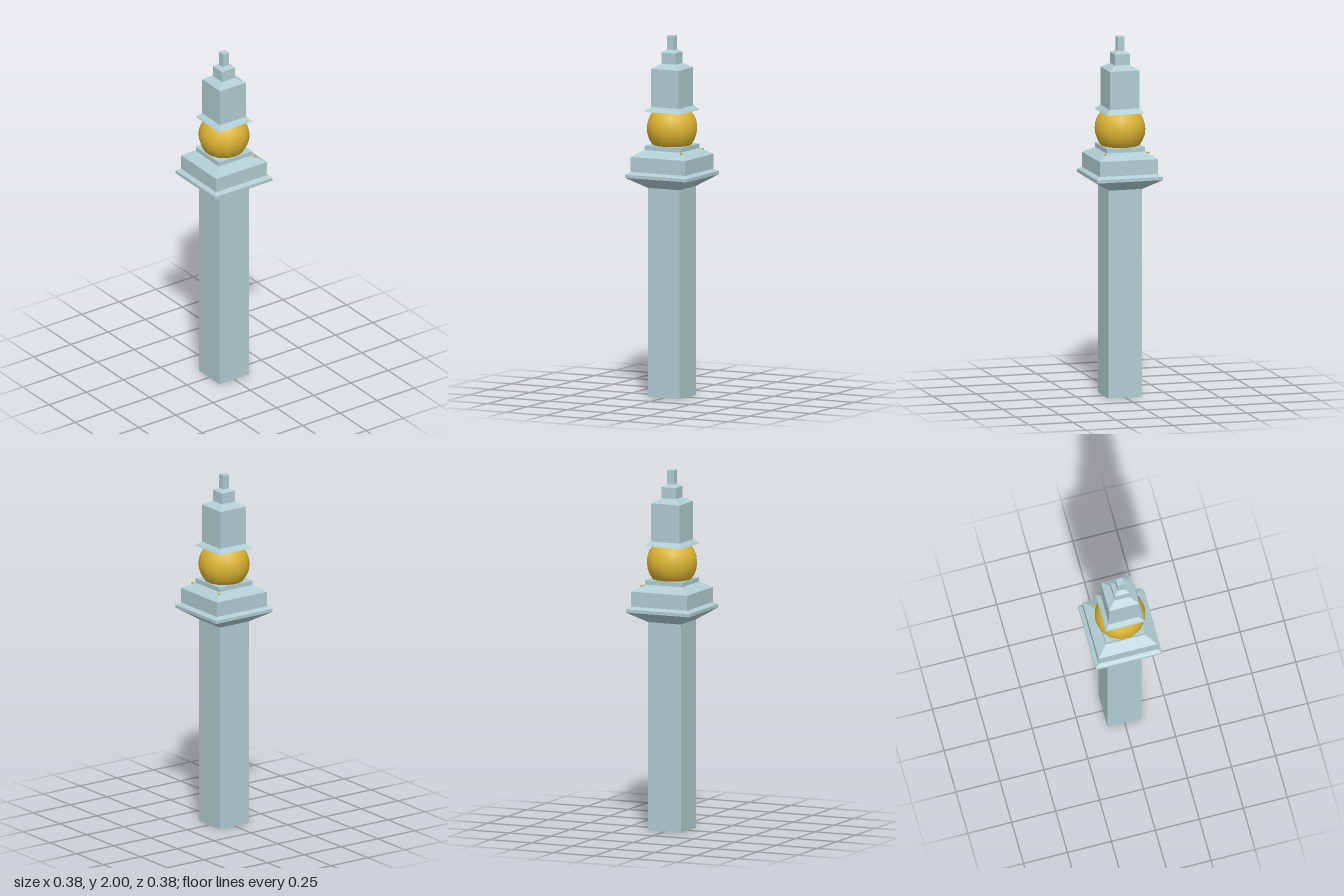
import * as THREE from 'three';

const stone = new THREE.MeshStandardMaterial({ color: 0xb0cdd3, side: THREE.DoubleSide });
stone.name = 'paleStone';
const gold = new THREE.MeshStandardMaterial({ color: 0xdcb432 });
gold.name = 'gold';

// Square tower section from [half width, height] pairs, with flat faces
function squareSection(name, profile) {
  const points = profile.map(([half, y]) => new THREE.Vector2(half * Math.SQRT2, y));
  const geometry = new THREE.LatheGeometry(points, 4, Math.PI / 4).toNonIndexed();
  geometry.scale(1, 1, 1.02);
  geometry.computeVertexNormals();
  const mesh = new THREE.Mesh(geometry, stone);
  mesh.name = name;
  return mesh;
}

export function createModel() {
  const group = new THREE.Group();
  group.name = 'column';

  // Hollow shaft, open at the foot
  group.add(squareSection('shaft', [[0.097, 0], [0.097, 1.16]]));

  // Flared capital with a thin rim
  group.add(squareSection('capital', [
    [0.097, 1.16], [0.188, 1.22], [0.188, 1.238], [0.167, 1.252],
  ]));

  // Stepped plinth under the ball
  group.add(squareSection('plinth', [
    [0.167, 1.252], [0.167, 1.335], [0.11, 1.37], [0.11, 1.395], [0, 1.395],
  ]));

  // Ball
  const ball = new THREE.Mesh(new THREE.SphereGeometry(0.141, 14, 14), gold);
  ball.name = 'ball';
  ball.position.y = 1.487;
  group.add(ball);

  // Stepped spire with a flared skirt
  group.add(squareSection('spire', [
    [0, 1.582], [0.111, 1.582], [0.105, 1.59], [0.085, 1.608], [0.085, 1.82],
    [0.043, 1.846], [0.043, 1.908], [0.02, 1.922], [0.02, 2], [0, 2],
  ]));

  // Small gold chips at the rear corners of the plinth
  for (const side of [-1, 1]) {
    const chip = new THREE.Mesh(new THREE.BoxGeometry(0.024, 0.008, 0.008), gold);
    chip.name = 'cornerChip';
    chip.position.set(side * 0.12, 1.365, -0.12);
    chip.rotation.y = side * Math.PI / 4;
    group.add(chip);
  }
  return group;
}
